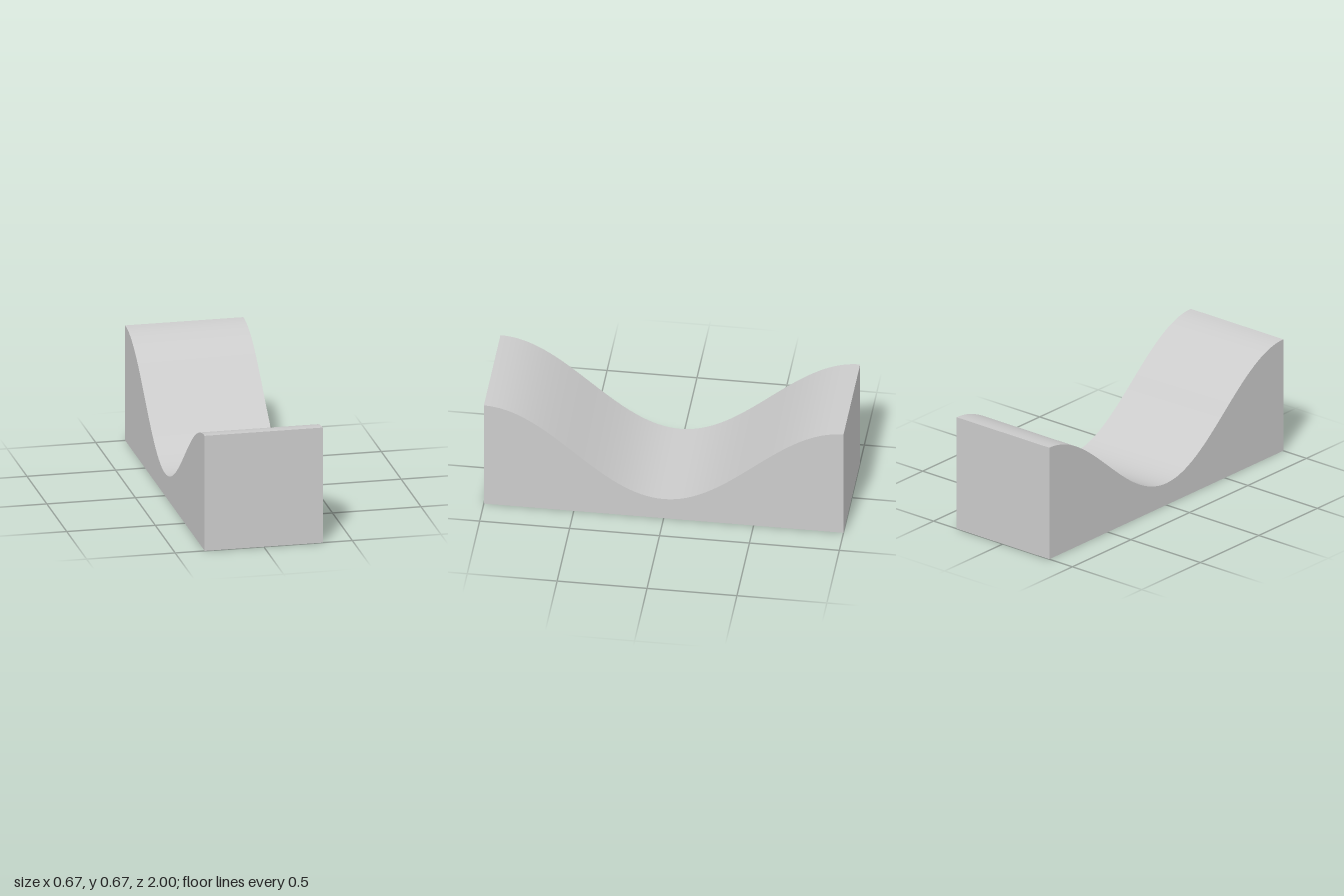
import * as THREE from 'three';
import { toCreasedNormals } from 'three/addons/utils/BufferGeometryUtils.js';

const WIDTH = 0.667, HIGH = 0.667, LOW = 0.13, SEGMENTS = 64;

// Height of the wavy top: one full cosine period, lowest in the middle
const topHeight = z => (HIGH + LOW) / 2 - (HIGH - LOW) / 2 * Math.cos(Math.PI * z);

export function createModel() {
  const group = new THREE.Group();
  group.name = 'saddleBlock';

  // Side profile: flat base, vertical ends, cosine dip on top
  const profile = new THREE.Shape();
  profile.moveTo(-1, 0);
  profile.lineTo(1, 0);
  for (let i = 0; i <= SEGMENTS; i++) {
    const z = 1 - 2 * i / SEGMENTS;
    profile.lineTo(z, topHeight(z));
  }
  profile.closePath();

  // Extrude across the width, then turn the profile to run along z
  const geometry = new THREE.ExtrudeGeometry(profile, { depth: WIDTH, bevelEnabled: false });
  geometry.translate(0, 0, -WIDTH / 2);
  geometry.rotateY(-Math.PI / 2);

  // Smooth dip, sharp outer edges
  const block = new THREE.Mesh(
    toCreasedNormals(geometry, 0.5),
    new THREE.MeshStandardMaterial({ color: 0xcccccc })
  );
  block.name = 'curvedBlock';
  group.add(block);
  return group;
}
